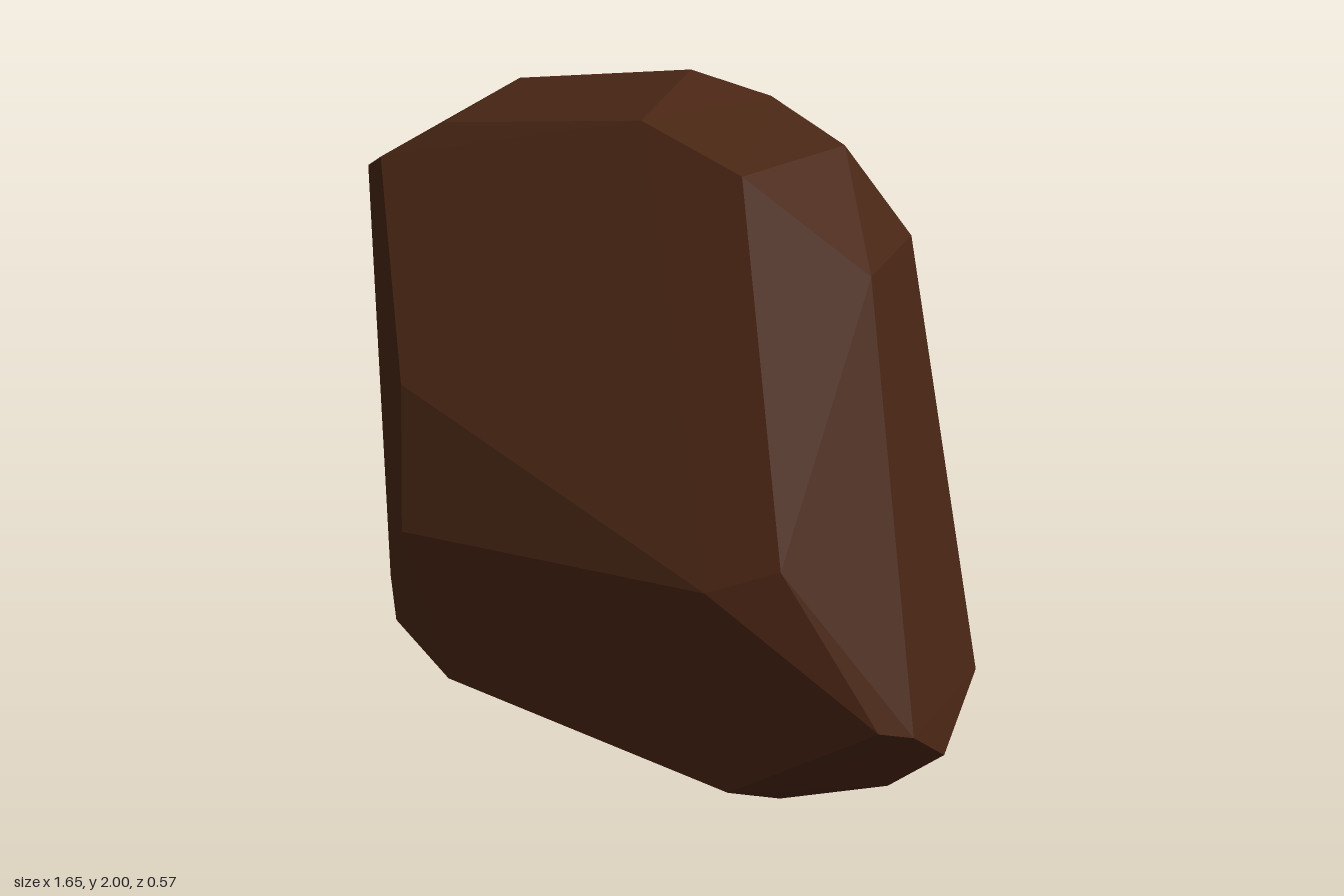
import * as THREE from 'three';
import { ConvexGeometry } from 'three/addons/geometries/ConvexGeometry.js';

const material = new THREE.MeshStandardMaterial({ color: 0x4a2614, roughness: 1, flatShading: true });

function chunk(name, corners) {
  const mesh = new THREE.Mesh(new ConvexGeometry(corners.map((c) => new THREE.Vector3(...c))), material);
  mesh.name = name;
  return mesh;
}

export function createModel() {
  const group = new THREE.Group();
  group.name = 'rockSlab';

  // Corners of the chipped edge around the notch, low on the left side
  const upperBack = [0.54, 1.67, -0.28], upperFront = [0.54, 1.67, -0.05];
  const sideFront = [0.79, 0.58, 0.14], sideTip = [0.82, 0.44, 0];
  const notchInner = [0.62, 0.55, -0.21], notchRim = [0.79, 0.47, -0.07];

  const crown = [
    [0.03, 2, 0.09], [0.28, 1.92, 0.09], [0.38, 1.88, -0.24], [0, 2, -0.21],
    [0.18, 1.95, -0.265], [0.15, 1.88, -0.29], [-0.43, 1.91, -0.16], [-0.47, 1.9, 0.12],
    [-0.63, 1.79, 0.15], [-0.75, 1.69, 0.03], [-0.76, 1.66, -0.21], [-0.71, 1.63, -0.26],
  ];
  const face = [
    [-0.54, 1.25, 0.255], [0.3, 0.93, 0.285], [0.48, 1.03, 0.255],
    [-0.585, 0.79, 0.225], [0.72, 0.6, 0.19],
  ];
  const foot = [
    [0.25, 0.12, 0.03], [0.22, 0, -0.17], [0.34, 0.04, -0.1], [0.64, 0.2, -0.1],
    [0.64, 0.22, -0.18], [0.66, 0.28, -0.18], [-0.59, 0.2, 0.04], [-0.56, 0.09, -0.19],
    [-0.7, 0.19, -0.2], [-0.71, 0.39, 0.095], [-0.82, 0.41, -0.05], [-0.83, 0.31, -0.18],
  ];
  group.add(chunk('slabBody', [
    ...crown, ...face, ...foot, upperBack, upperFront, sideFront, sideTip, notchInner, notchRim,
  ]));

  // Overhanging spur above the notch
  group.add(chunk('spur', [
    [0.81, 0.56, -0.21], upperBack, upperFront, sideFront, sideTip, notchInner, notchRim,
  ]));
  return group;
}
